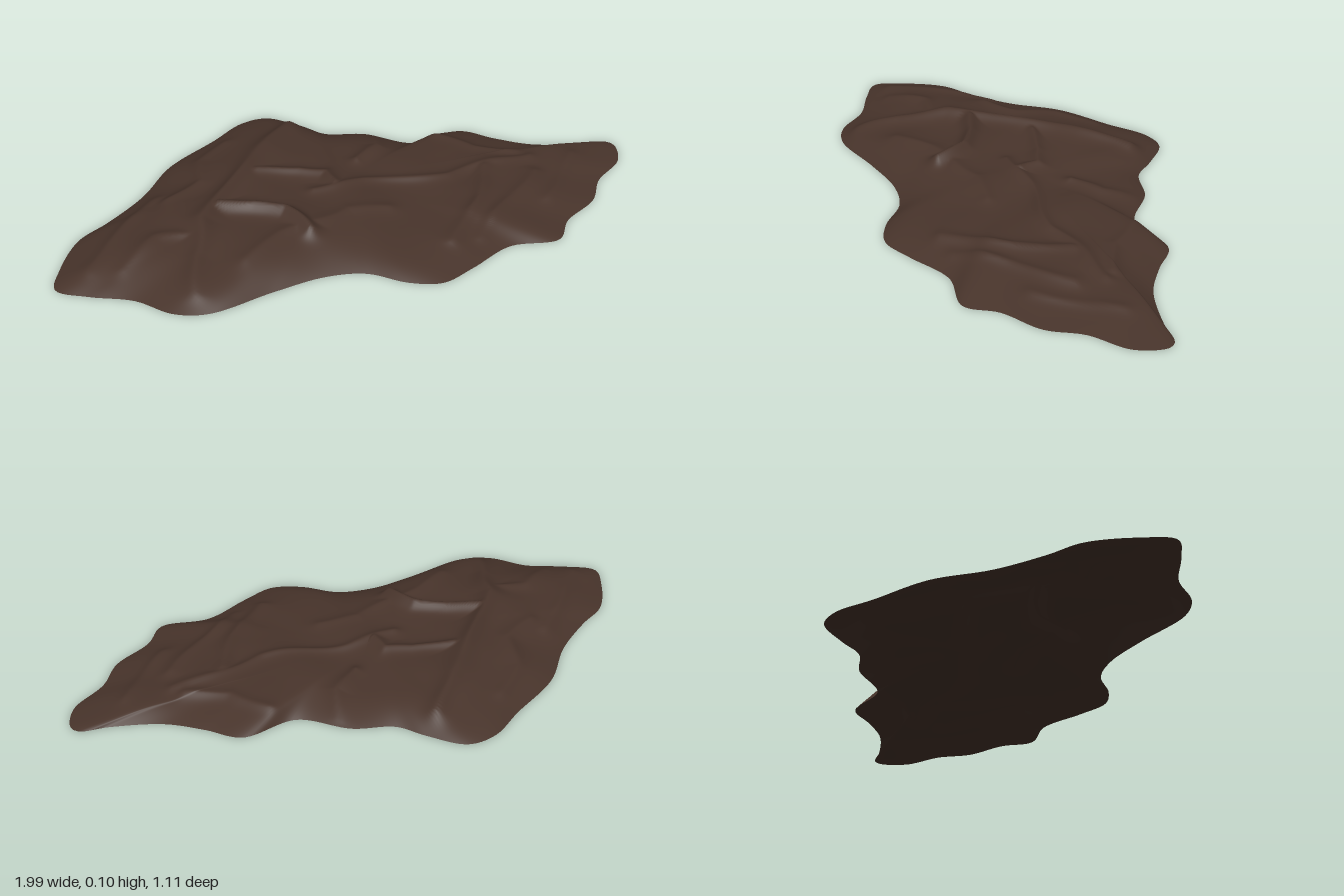
import * as THREE from 'three';

// Sheet outline as [x, z] points, from the +x tip round through the front
const OUTLINE = [
  [0.998, 0.03], [0.963, 0.125], [0.845, 0.21], [0.77, 0.31], [0.64, 0.385], [0.565, 0.47],
  [0.405, 0.45], [0.245, 0.515], [0.13, 0.552], [0.03, 0.515], [-0.075, 0.43], [-0.2, 0.403],
  [-0.37, 0.42], [-0.585, 0.455], [-0.685, 0.42], [-0.78, 0.32], [-0.905, 0.255], [-0.995, 0.19],
  [-0.965, 0.095], [-0.877, -0.04], [-0.77, -0.105], [-0.63, -0.21], [-0.5, -0.355],
  [-0.315, -0.465], [-0.19, -0.543], [-0.095, -0.548], [0.005, -0.455], [0.07, -0.377],
  [0.2, -0.33], [0.34, -0.217], [0.525, -0.235], [0.62, -0.15], [0.727, -0.07], [0.89, -0.015],
  [0.978, 0],
];

// Cloth folds: height, half width, and the [x, z] path of the crest
const FOLDS = [
  [0.028, 0.035, [[-0.06, -0.42], [-0.17, -0.28], [-0.34, -0.1], [-0.5, 0.08], [-0.57, 0.25], [-0.6, 0.4]]],
  [0.016, 0.03, [[-0.3, -0.38], [-0.4, -0.3], [-0.46, -0.16], [-0.58, -0.08]]],
  [0.032, 0.028, [[-0.42, 0.02], [-0.32, 0.08], [-0.24, 0.14], [-0.2, 0.25]]],
  [0.018, 0.024, [[-0.27, -0.12], [-0.13, -0.1], [-0.04, -0.06], [-0.02, 0.01]]],
  [0.018, 0.026, [[0.24, -0.29], [0.18, -0.18], [0.08, -0.1]]],
  [0.013, 0.024, [[-0.1, 0.02], [0.08, 0.03], [0.35, 0.08], [0.67, 0.04]]],
  [0.016, 0.026, [[0.49, 0.08], [0.38, 0.24], [0.23, 0.4]]],
  [0.014, 0.024, [[0.63, 0.13], [0.49, 0.27], [0.33, 0.4]]],
  [0.013, 0.024, [[0.82, 0.08], [0.7, 0.18], [0.62, 0.27]]],
  [0.012, 0.024, [[0.4, -0.17], [0.5, -0.05], [0.64, 0.0]]],
  [0.017, 0.03, [[-0.9, 0.16], [-0.76, 0.03], [-0.62, -0.12]]],
  [0.012, 0.026, [[-0.8, 0.2], [-0.66, 0.12], [-0.5, 0.15]]],
  [0.01, 0.03, [[-0.42, 0.3], [-0.3, 0.24], [-0.05, 0.16], [0.08, 0.2]]],
];

// Broad height of the sheet along x
const SWELL = [[-1, 0.08], [-0.75, 0.075], [-0.5, 0.074], [-0.3, 0.072], [-0.05, 0.06], [0.12, 0.047], [0.3, 0.054], [0.5, 0.053], [0.7, 0.045], [1, 0.045]];

function swell(x) {
  const i = Math.max(1, SWELL.findIndex((p) => p[0] >= x));
  const [a, b] = [SWELL[i - 1], SWELL[i]];
  return THREE.MathUtils.lerp(a[1], b[1], THREE.MathUtils.smoothstep(x, a[0], b[0]));
}

function segmentDistance(x, z, a, b) {
  const dx = b[0] - a[0], dz = b[1] - a[1];
  const k = THREE.MathUtils.clamp(((x - a[0]) * dx + (z - a[1]) * dz) / (dx * dx + dz * dz), 0, 1);
  return Math.hypot(x - a[0] - k * dx, z - a[1] - k * dz);
}

// t runs from 0 at the middle to 1 at the hem
function height(x, z, t) {
  // Bend the fold lines a little so that they wander
  const u = x + 0.012 * Math.sin(z * 19 + 1), v = z + 0.012 * Math.sin(x * 17);
  let fold = 0;
  for (const [h, w, path] of FOLDS) {
    let d = Infinity;
    for (let i = 1; i < path.length; i++) d = Math.min(d, segmentDistance(u, v, path[i - 1], path[i]));
    fold = Math.max(fold, h * Math.exp(-Math.pow(d / w, 1.5)));
  }
  const ripple = 0.003 * Math.sin(9 * u + 14 * v) + 0.002 * Math.sin(24 * u - 13 * v + 2);
  return Math.max(0, swell(THREE.MathUtils.clamp(x, -1, 1)) * (1 - t ** 4) + (fold + ripple) * (1 - t ** 6));
}

function makeSheet(rings, sides) {
  const curve = new THREE.CatmullRomCurve3(OUTLINE.map(([x, z]) => new THREE.Vector3(x, 0, z)), true);
  const rim = curve.getSpacedPoints(sides).slice(0, sides);
  const positions = [0, height(0, 0, 0), 0];
  const index = [];
  const at = (r, s) => 1 + (r - 1) * sides + (s % sides);
  for (let r = 1; r <= rings; r++) {
    const t = r / rings;
    for (let s = 0; s < sides; s++) {
      const x = rim[s].x * t, z = rim[s].z * t;
      positions.push(x, height(x, z, t), z);
      if (r === 1) index.push(0, at(1, s + 1), at(1, s));
      else {
        index.push(at(r - 1, s), at(r - 1, s + 1), at(r, s));
        index.push(at(r - 1, s + 1), at(r, s + 1), at(r, s));
      }
    }
  }
  const geometry = new THREE.BufferGeometry();
  geometry.setAttribute('position', new THREE.Float32BufferAttribute(positions, 3));
  geometry.setIndex(index);
  geometry.computeVertexNormals();
  return geometry;
}

export function createModel() {
  const group = new THREE.Group();
  group.name = 'crumpledHide';
  const brown = new THREE.MeshStandardMaterial({ color: 0x48342b, side: THREE.DoubleSide });
  brown.name = 'dark brown';
  const sheet = new THREE.Mesh(makeSheet(90, 300), brown);
  sheet.name = 'hideSheet';
  group.add(sheet);
  return group;
}
